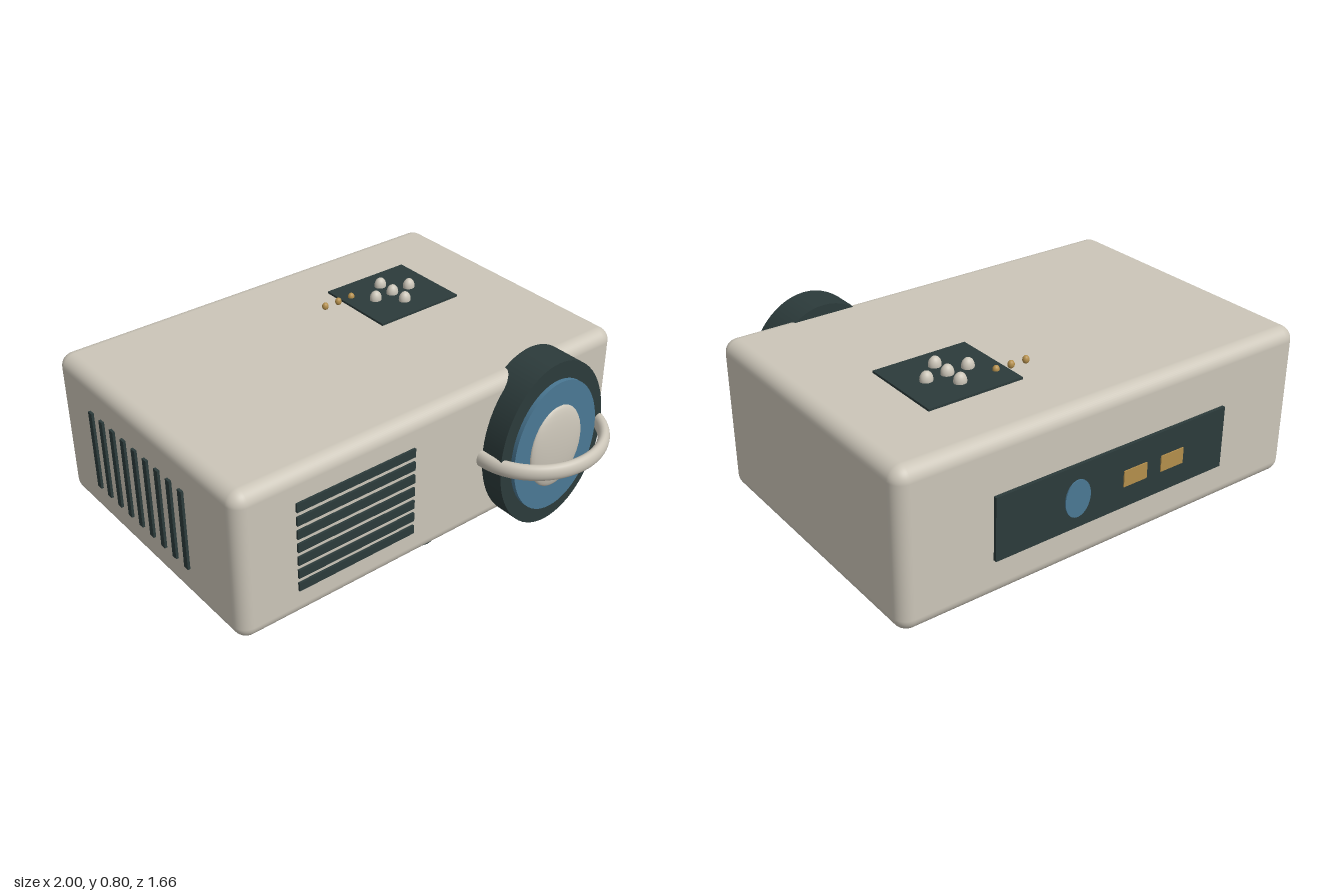
import * as THREE from 'three';
import { RoundedBoxGeometry } from 'three/addons/geometries/RoundedBoxGeometry.js';

const paint = (name, color) => {
  const m = new THREE.MeshStandardMaterial({ color });
  m.name = name;
  return m;
};

export function createModel() {
  const model = new THREE.Group();
  model.name = 'projector';
  const shell = paint('warm grey shell', 0xcbc5b8);
  const dark = paint('dark slate', 0x2c3b3b);
  const blue = paint('lens blue', 0x4a7894);
  const brass = paint('brass', 0xb48f4c);

  const add = (name, geometry, material, x, y, z, parent = model) => {
    const mesh = new THREE.Mesh(geometry, material);
    mesh.name = name;
    mesh.position.set(x, y, z);
    parent.add(mesh);
    return mesh;
  };
  const group = (name) => {
    const g = new THREE.Group();
    g.name = name;
    model.add(g);
    return g;
  };
  const box = (w, h, d) => new THREE.BoxGeometry(w, h, d);
  // Elliptical disc facing along z
  const disc = (rx, ry, depth) =>
    new THREE.CylinderGeometry(1, 1, depth, 64).rotateX(Math.PI / 2).scale(rx, ry, 1);
  const ball = (rx, ry, rz) => new THREE.SphereGeometry(1, 24, 16).scale(rx, ry, rz);

  // Main case
  add('case', new RoundedBoxGeometry(1.985, 0.695, 1.33, 5, 0.06), shell, 0.004, 0.4025, -0.15);

  // Front grille
  const grille = group('frontGrille');
  for (let i = 0; i < 7; i++)
    add('grilleSlat', box(0.58, 0.04, 0.03), dark, -0.43, 0.212 + i * 0.0635, 0.51, grille);

  // Side vents on the model's right
  const vents = group('sideVents');
  for (let i = 0; i < 9; i++)
    add('ventSlot', box(0.03, 0.38, 0.028), dark, -0.985, 0.4, -0.537 + i * 0.086, vents);

  // Lens assembly: barrel, blue ring, domed glass, half-hoop guard
  const lens = group('lens');
  const lx = 0.538, ly = 0.4;
  add('lensBarrel', disc(0.3, 0.396, 0.17), dark, lx, ly, 0.54, lens);
  add('lensRing', disc(0.24, 0.315, 0.04), blue, lx, ly, 0.625, lens);
  add('lensDome', ball(0.15, 0.2, 0.033), shell, lx, ly, 0.643, lens);
  const hoop = new THREE.TorusGeometry(0.306, 0.027, 20, 96).rotateX(Math.PI / 2).scale(1, 1.39, 0.93);
  add('lensGuard', hoop, shell, lx, ly, 0.52, lens);

  // Control pad with five buttons
  const controls = group('controls');
  add('controlPad', box(0.435, 0.02, 0.387), dark, 0.442, 0.75, -0.322, controls);
  for (const [dx, dz] of [[0, 0], [0.097, 0], [-0.097, 0], [0, 0.086], [0, -0.086]])
    add('button', ball(0.028, 0.036, 0.025), shell, 0.442 + dx, 0.766, -0.322 + dz, controls);

  // Indicator beads
  for (let i = 0; i < 3; i++)
    add('indicator', ball(0.015, 0.018, 0.014), brass, 0.126 + i * 0.073, 0.763, -0.407, controls);

  // Rear connector panel
  const rear = group('rearPanel');
  add('connectorPanel', box(1.16, 0.28, 0.03), dark, 0.004, 0.369, -0.815, rear);
  add('roundSocket', disc(0.062, 0.083, 0.008), blue, 0.198, 0.363, -0.831, rear);
  for (const x of [-0.095, -0.29])
    add('portSocket', box(0.12, 0.072, 0.008), brass, x, 0.363, -0.831, rear);

  // Feet: four corners and a smaller one at the front middle
  const feet = group('feet');
  const foot = (r, x, z) =>
    add('foot', new THREE.CylinderGeometry(r, r, 0.045, 32).scale(1, 1, 0.9), dark, x, 0.0425, z, feet);
  for (const x of [-0.82, 0.828]) for (const z of [0.368, -0.662]) foot(0.077, x, z);
  foot(0.06, 0.004, 0.4);

  return model;
}
